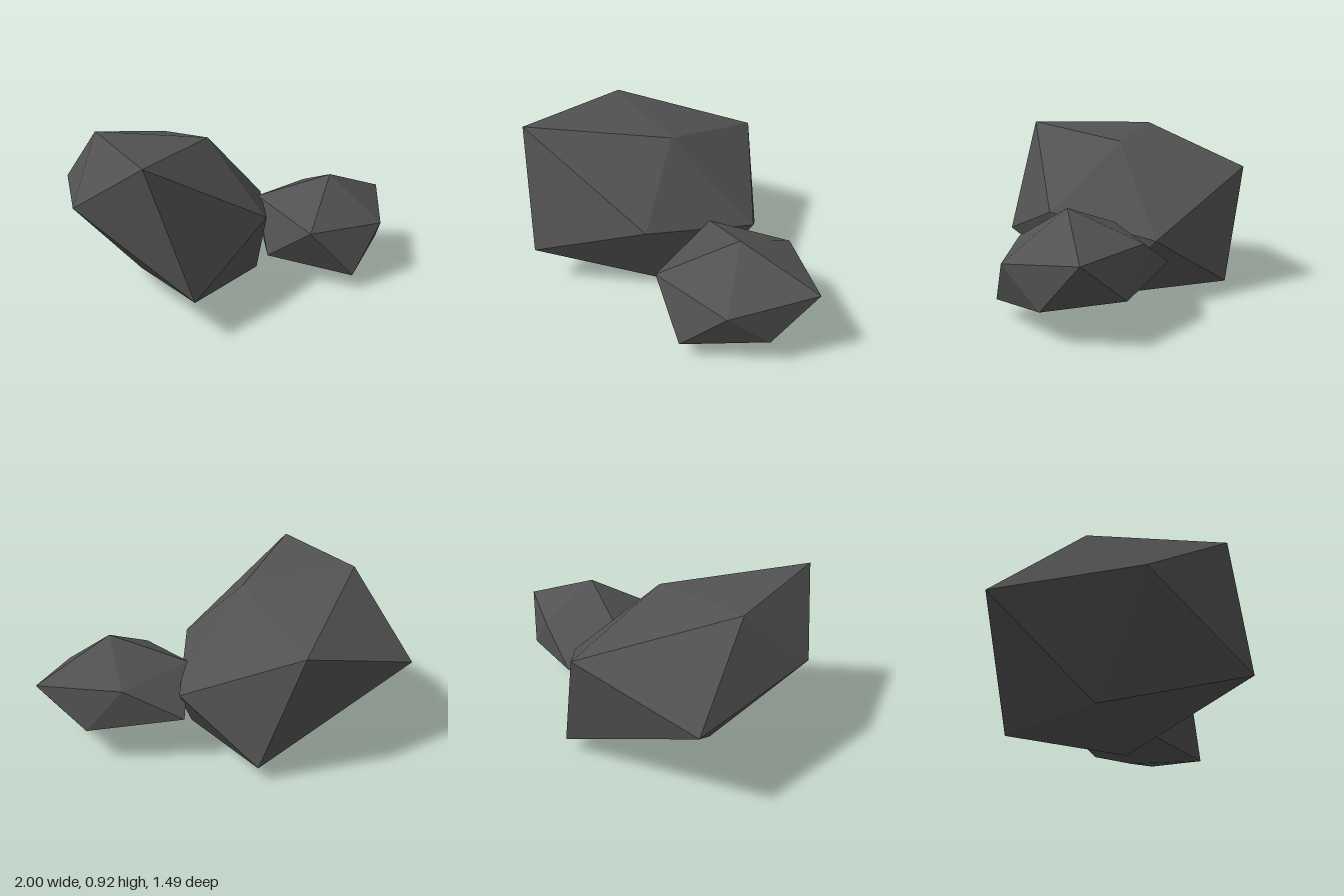
import * as THREE from 'three';

const stone = new THREE.MeshStandardMaterial({ color: 0x525252 });
stone.name = 'darkStone';

// A twenty-sided boulder: top point, upper ring, lower ring and bottom point.
// Rings run anticlockwise seen from above; lower[i] sits between upper[i] and upper[i + 1].
function boulder(name, top, upper, lower, bottom) {
  const corners = [];
  for (let i = 0; i < 5; i++) {
    const j = (i + 1) % 5;
    corners.push(top, upper[i], upper[j]);
    corners.push(upper[i], lower[i], upper[j]);
    corners.push(lower[i], lower[j], upper[j]);
    corners.push(bottom, lower[j], lower[i]);
  }
  const geometry = new THREE.BufferGeometry();
  geometry.setAttribute('position', new THREE.Float32BufferAttribute(corners.flat(), 3));
  geometry.computeVertexNormals(); // unshared corners give flat facets
  const mesh = new THREE.Mesh(geometry, stone);
  mesh.name = name;
  return mesh;
}

export function createModel() {
  const model = new THREE.Group();
  model.name = 'rocks';

  model.add(boulder('largeRock',
    [-0.09, 0.85, -0.10],
    [[-0.37, 0.92, 0.70], [0.25, 0.46, 0.17], [0.24, 0.37, -0.50], [-0.40, 0.71, -0.745], [-0.72, 0.92, 0.03]],
    [[-0.13, 0.23, 0.74], [0.21, 0, -0.13], [-0.18, 0.08, -0.735], [-1, 0.52, -0.37], [-0.79, 0.60, 0.40]],
    [-0.50, 0.05, 0]));

  model.add(boulder('smallRock',
    [0.65, 0.59, -0.21],
    [[1, 0.42, -0.50], [0.53, 0.43, -0.575], [0.21, 0.44, -0.23], [0.50, 0.37, 0.20], [0.94, 0.35, -0.02]],
    [[0.73, 0.20, -0.59], [0.21, 0.26, -0.56], [0.27, 0.14, 0], [0.76, 0.09, 0.16], [0.97, 0.16, -0.26]],
    [0.61, 0.08, -0.27]));

  return model;
}
